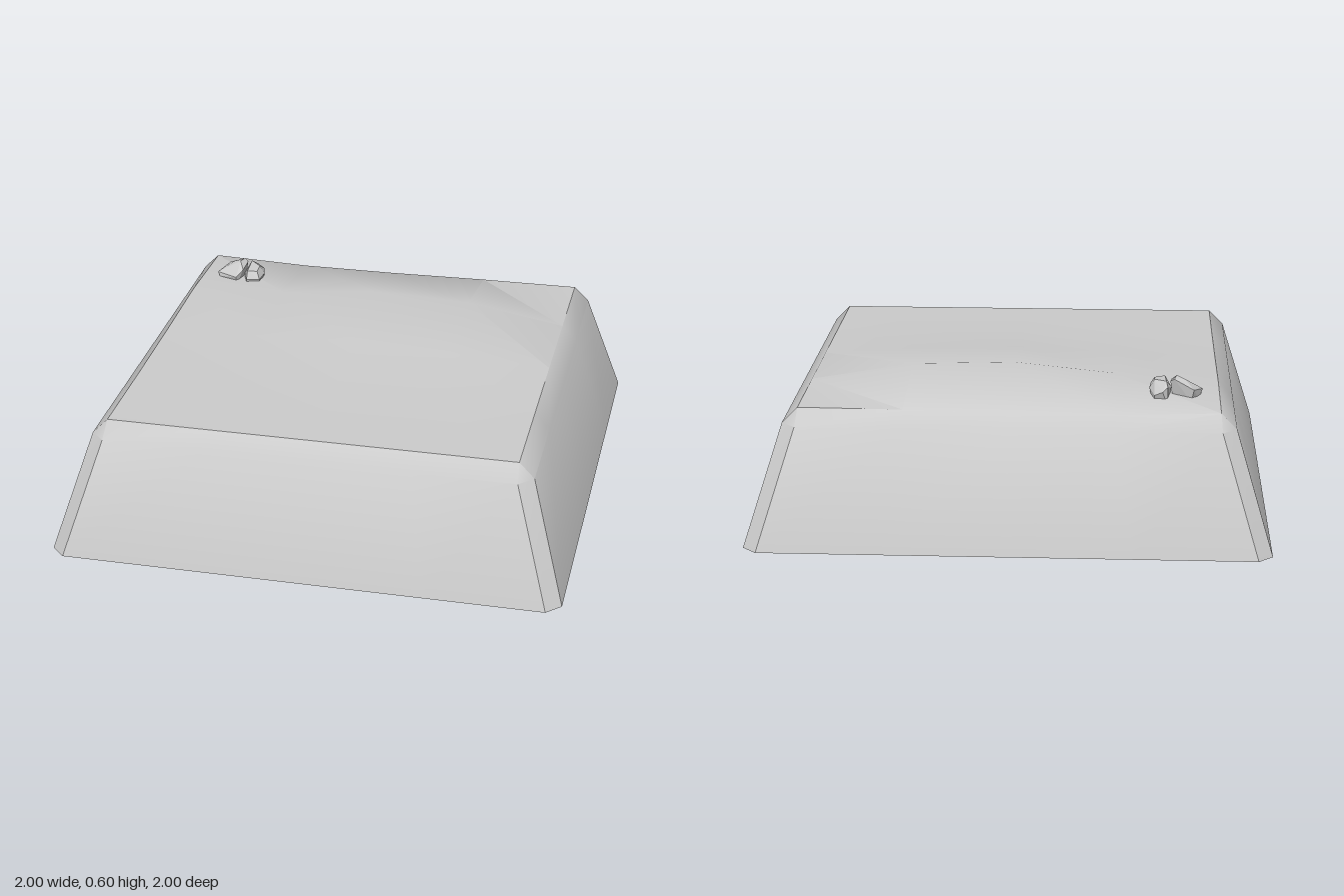
import * as THREE from 'three';
import { toCreasedNormals } from 'three/addons/utils/BufferGeometryUtils.js';
import { ConvexGeometry } from 'three/addons/geometries/ConvexGeometry.js';

// Heights of the uneven top: rows run back to front, columns run -x to +x
const HEIGHTS = [
  [0.515, 0.503, 0.505, 0.512, 0.515],
  [0.53, 0.555, 0.595, 0.583, 0.515],
  [0.52, 0.535, 0.55, 0.54, 0.515],
  [0.515, 0.515, 0.515, 0.515, 0.515],
  [0.515, 0.515, 0.515, 0.515, 0.515],
];
const N = 4;

function moundGeometry() {
  const tris = [];
  const tri = (...pts) => pts.forEach((p) => tris.push(...p));
  const quad = (a, b, c, d) => { tri(a, b, c); tri(a, c, d); };
  const step = (i) => -1 + (2 * i) / N;
  const top = (i, j) => [0.8 * step(i), HEIGHTS[j][i], 0.8 * step(j)];

  // Top surface
  for (let j = 0; j < N; j++) {
    for (let i = 0; i < N; i++) {
      quad(top(i, j), top(i, j + 1), top(i + 1, j + 1), top(i + 1, j));
    }
  }

  // Four sloping sides, each with an upper bevel and a chamfered corner
  const turn = (k, [x, y, z]) =>
    [[x, y, z], [z, y, -x], [-x, y, -z], [-z, y, x]][k];
  for (let k = 0; k < 4; k++) {
    const foot = (i, s = k) => turn(s, [0.945 * step(i), 0, 1]);
    const shoulder = (i, s = k) => turn(s, [0.805 * step(i), 0.455, 0.86]);
    const rim = (i) => [top(i, N), top(N, N - i), top(N - i, 0), top(0, i)][k];
    for (let i = 0; i < N; i++) {
      quad(foot(i), foot(i + 1), shoulder(i + 1), shoulder(i));
      quad(shoulder(i), shoulder(i + 1), rim(i + 1), rim(i));
    }
    const next = (k + 1) % 4;
    quad(foot(N), foot(0, next), shoulder(0, next), shoulder(N));
    tri(shoulder(N), shoulder(0, next), rim(N));
  }

  const geometry = new THREE.BufferGeometry();
  geometry.setAttribute('position', new THREE.Float32BufferAttribute(tris, 3));
  return toCreasedNormals(geometry, 0.62);
}

// Faceted stone from a few corner points
function stone(name, points) {
  const geometry = new ConvexGeometry(points.map((p) => new THREE.Vector3(...p)));
  const mesh = new THREE.Mesh(
    geometry,
    new THREE.MeshStandardMaterial({ color: 0xcccccc, flatShading: true }),
  );
  mesh.name = name;
  return mesh;
}

export function createModel() {
  const group = new THREE.Group();
  group.name = 'groundMound';

  // Hollow block, open underneath
  const mound = new THREE.Mesh(
    moundGeometry(),
    new THREE.MeshStandardMaterial({ color: 0xcccccc, side: THREE.DoubleSide }),
  );
  mound.name = 'mound';
  group.add(mound);

  // Two small stones near the back corner
  group.add(
    stone('leaningStone', [
      [-0.735, 0.545, -0.565], [-0.7, 0.56, -0.645], [-0.625, 0.595, -0.62],
      [-0.61, 0.585, -0.61], [-0.615, 0.575, -0.54], [-0.64, 0.55, -0.51],
      [-0.725, 0.53, -0.555], [-0.635, 0.6, -0.575], [-0.665, 0.59, -0.595],
      [-0.72, 0.51, -0.6], [-0.69, 0.51, -0.635], [-0.62, 0.51, -0.6], [-0.64, 0.51, -0.52],
    ]),
    stone('uprightStone', [
      [-0.6, 0.57, -0.65], [-0.58, 0.555, -0.665], [-0.55, 0.54, -0.655],
      [-0.53, 0.55, -0.58], [-0.535, 0.55, -0.51], [-0.59, 0.55, -0.5],
      [-0.615, 0.55, -0.565], [-0.595, 0.587, -0.62], [-0.55, 0.583, -0.58],
      [-0.55, 0.578, -0.53], [-0.59, 0.582, -0.52],
      [-0.6, 0.5, -0.65], [-0.545, 0.5, -0.64], [-0.54, 0.51, -0.52], [-0.595, 0.51, -0.51],
    ]),
  );
  return group;
}
